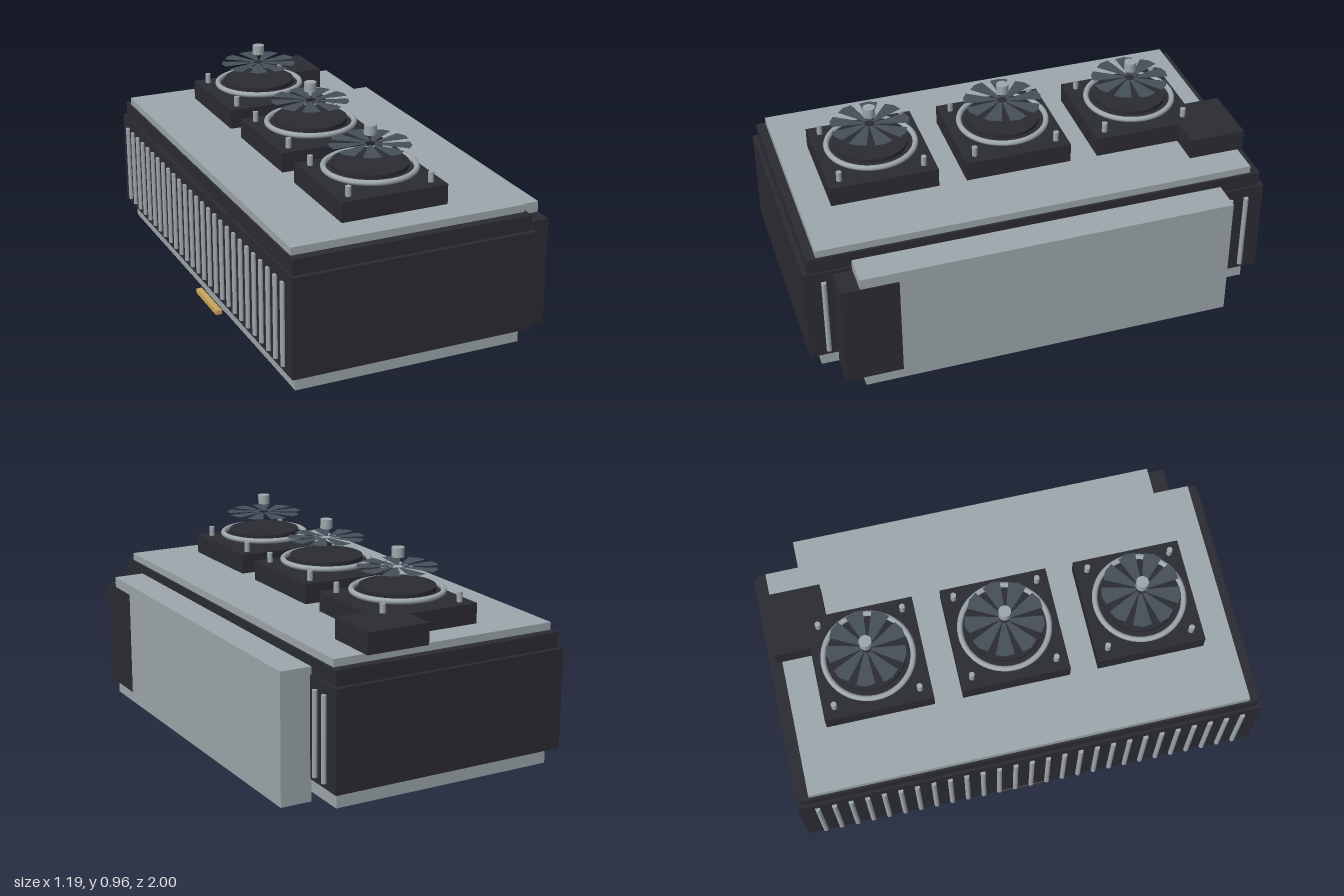
import * as THREE from 'three';

const paint = (name, color, extra = {}) => {
  const m = new THREE.MeshStandardMaterial({ color, ...extra });
  m.name = name;
  return m;
};

export function createModel() {
  const dark = paint('charcoal', 0x2b2b33);
  const metal = paint('brushed metal', 0x9da7ac);
  const gold = paint('gold', 0xc9a55e);
  const slate = paint('slate', 0x46505a, { side: THREE.DoubleSide });

  const model = new THREE.Group();
  model.name = 'coolerCard';

  const add = (name, geometry, material, x = 0, y = 0, z = 0, parent = model) => {
    const mesh = new THREE.Mesh(geometry, material);
    mesh.name = name;
    mesh.position.set(x, y, z);
    parent.add(mesh);
    return mesh;
  };
  // Box given by its limits on each axis
  const box = (name, material, [x0, x1], [y0, y1], [z0, z1], parent = model) =>
    add(name, new THREE.BoxGeometry(x1 - x0, y1 - y0, z1 - z0), material,
      (x0 + x1) / 2, (y0 + y1) / 2, (z0 + z1) / 2, parent);

  // Stacked housing
  box('shroud', dark, [-0.582, 0.465], [0.145, 0.57], [-1, 1]);
  box('shroudStep', dark, [-0.57, 0.455], [0.57, 0.635], [-0.98, 0.98]);
  box('topPlate', metal, [-0.561, 0.444], [0.635, 0.667], [-0.94, 0.94]);
  box('backPlate', metal, [-0.55, 0.435], [0.07, 0.121], [-0.95, 0.95]);
  box('undersidePad', dark, [-0.4, 0.282], [0.03, 0.07], [-0.68, 0.68]);

  // Side bracket, its end block and the socket on top
  box('sideBracket', metal, [0.46, 0.595], [0.05, 0.602], [-0.8, 0.8]);
  box('bracketBlock', dark, [0.46, 0.597], [0.095, 0.556], [0.64, 0.88]);
  box('powerSocket', dark, [0.035, 0.31], [0.667, 0.756], [-0.963, -0.72]);

  // Heat pipes between the shroud and the back plate
  const pipe = new THREE.CylinderGeometry(0.04, 0.04, 1.6, 16).rotateX(Math.PI / 2);
  for (const x of [-0.367, -0.06, 0.248]) add('heatPipe', pipe, gold, x, 0.165, 0);

  // Upright cooling rods along both long sides
  const rod = new THREE.CylinderGeometry(0.011, 0.011, 0.355, 10);
  for (let i = 0; i < 27; i++) {
    const z = -0.92 + i * (1.84 / 26);
    add('coolingRodRight', rod, metal, -0.586, 0.348, z);
    add('coolingRodLeft', rod, metal, 0.473, 0.348, z);
  }

  // Row of contacts underneath
  for (let i = 0; i < 22; i++) {
    const x = -0.547 + i * 0.0445;
    box('contact', gold, [x, x + 0.027], [0, 0.02], [-0.153, 0.09]);
  }

  // Swept fan blade, narrow at the hub and wide at the tip
  const polar = (r, a) => [r * Math.cos(a), r * Math.sin(a)];
  const bladeShape = new THREE.Shape();
  bladeShape.moveTo(...polar(0.022, -0.3));
  bladeShape.lineTo(...polar(0.165, -0.1));
  bladeShape.lineTo(...polar(0.168, 0.14));
  bladeShape.lineTo(...polar(0.16, 0.38));
  bladeShape.lineTo(...polar(0.022, 0.3));
  const blade = new THREE.ShapeGeometry(bladeShape).rotateX(-Math.PI / 2);

  const ring = new THREE.TorusGeometry(0.187, 0.012, 10, 48).rotateX(Math.PI / 2);
  const disc = new THREE.CylinderGeometry(0.157, 0.157, 0.016, 40);
  const hub = new THREE.CylinderGeometry(0.026, 0.026, 0.04, 20);
  const screw = new THREE.CylinderGeometry(0.012, 0.012, 0.045, 12);

  // Three fans along the top
  for (const z of [-0.58, 0, 0.58]) {
    const fan = new THREE.Group();
    fan.name = 'fan';
    fan.position.set(-0.06, 0, z);
    model.add(fan);
    box('fanBase', dark, [-0.23, 0.23], [0.667, 0.752], [-0.23, 0.23], fan);
    add('fanRing', ring, metal, 0, 0.785, 0, fan);
    add('fanDisc', disc, dark, 0, 0.797, 0, fan);
    add('fanHub', hub, metal, 0, 0.94, 0, fan);
    for (let i = 0; i < 9; i++) {
      add('fanBlade', blade, slate, 0, 0.88, 0, fan).rotation.y = (i / 9) * Math.PI * 2;
    }
    for (const sx of [-1, 1]) for (const sz of [-1, 1]) {
      add('fanScrew', screw, metal, sx * 0.18, 0.772, sz * 0.18, fan);
    }
  }
  return model;
}
